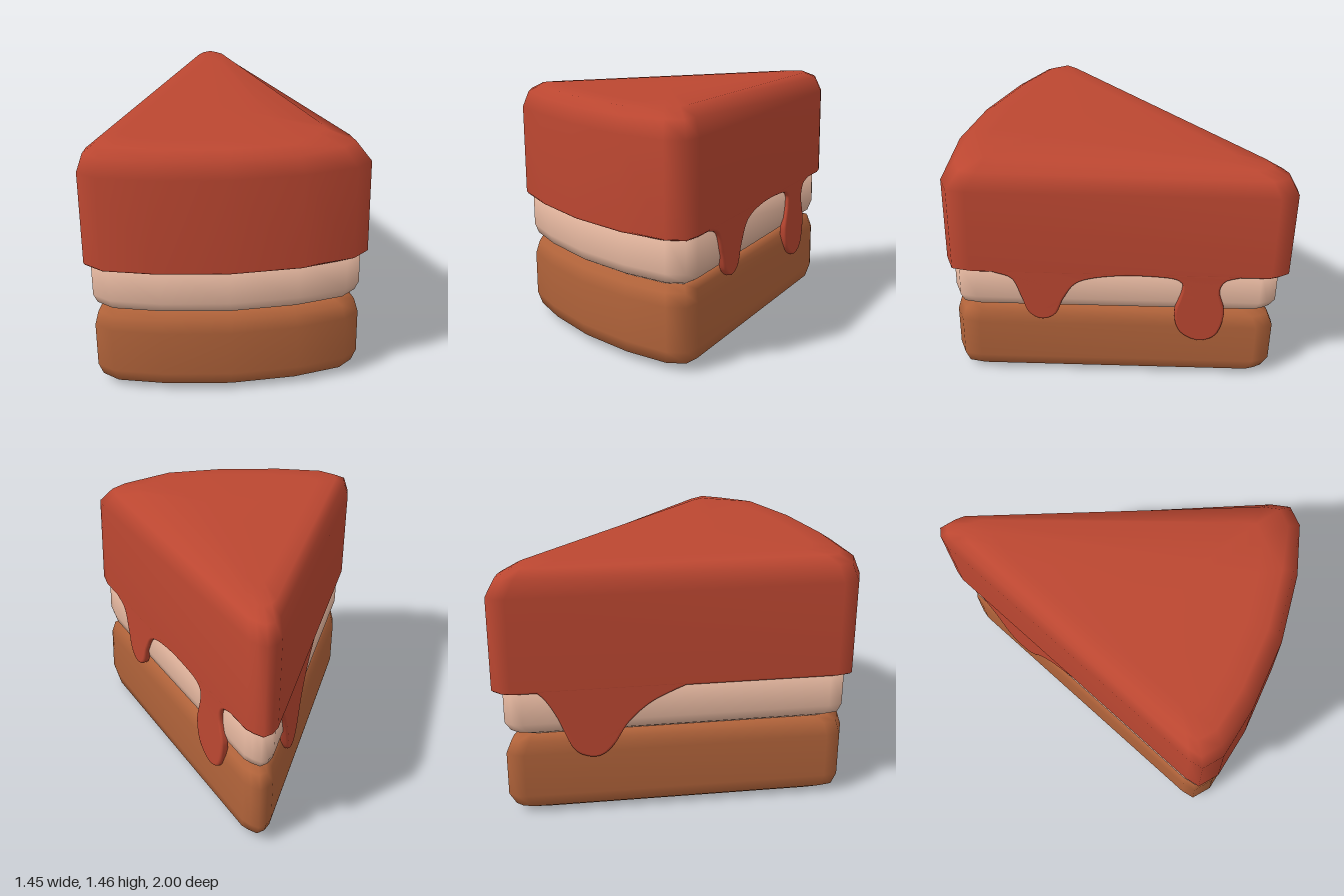
import * as THREE from 'three';
import { mergeVertices } from 'three/addons/utils/BufferGeometryUtils.js';

const material = (name, color) => Object.assign(new THREE.MeshStandardMaterial({ color }), { name });

// Wedge outline seen from above, [x, z, isOuterCorner]; insets shrink it towards the centre
const CENTRE = [-0.19, 0.2];
const OUTLINE = [
  [-0.725, -0.9], [-0.71, -0.96], [-0.675, -1], [-0.62, -0.985], [-0.57, -0.96],
  [0.66, 0.27, 1], [0.72, 0.36, 1], [0.67, 0.47, 1],
  [0.43, 0.65], [0.08, 0.83], [-0.3, 0.95], [-0.59, 1], [-0.71, 0.96], [-0.725, 0.88],
];

// Stack wedge outlines, listed bottom to top as [y, inset], and close both ends
function wedge(rings, cornerWeight) {
  const n = OUTLINE.length, pos = [], index = [];
  for (const [y, inset] of rings) {
    for (const [x, z, corner] of OUTLINE) {
      const s = 1 - inset * (corner ? cornerWeight : 1);
      pos.push(CENTRE[0] + (x - CENTRE[0]) * s, y, CENTRE[1] + (z - CENTRE[1]) * s);
    }
  }
  const bottom = rings.length * n, top = bottom + 1, last = (rings.length - 1) * n;
  pos.push(CENTRE[0], rings[0][0], CENTRE[1], CENTRE[0], rings.at(-1)[0], CENTRE[1]);
  for (let i = 0; i < n; i++) {
    const k = (i + 1) % n;
    for (let j = 0; j < last; j += n) {
      index.push(j + i, j + n + i, j + n + k, j + i, j + n + k, j + k);
    }
    index.push(bottom, i, k, top, last + k, last + i);
  }
  const g = new THREE.BufferGeometry();
  g.setAttribute('position', new THREE.Float32BufferAttribute(pos, 3));
  g.setIndex(index);
  g.computeVertexNormals();
  return g;
}

// Thin rounded slab hanging from the icing edge; points are [along, y]
function drip(points) {
  const pts = points.map(([x, y]) => new THREE.Vector2(x, y));
  const shape = new THREE.Shape();
  shape.moveTo(pts[0].x, 0.86);
  shape.lineTo(pts[0].x, pts[0].y);
  shape.splineThru(pts.slice(1));
  shape.lineTo(pts.at(-1).x, 0.86);
  let g = new THREE.ExtrudeGeometry(shape, {
    depth: 0.02, bevelThickness: 0.013, bevelSize: 0.014, bevelOffset: -0.014,
    bevelSegments: 3, curveSegments: 40,
  });
  g.translate(0, 0, -0.035);
  g.deleteAttribute('normal');
  g.deleteAttribute('uv');
  g = mergeVertices(g, 1e-4);
  g.computeVertexNormals();
  return g;
}

export function createModel() {
  const model = new THREE.Group();
  model.name = 'cakeSlice';
  const icing = material('red icing', 0xbc4731);
  const cream = material('pale cream', 0xdfb29b);
  const sponge = material('brown sponge', 0xb1633a);

  const add = (name, geometry, mat) => {
    const mesh = new THREE.Mesh(geometry, mat);
    mesh.name = name;
    model.add(mesh);
    return mesh;
  };

  // Layers
  add('spongeLayer', wedge([
    [0, 0.35], [0.01, 0.17], [0.045, 0.08], [0.12, 0.048],
    [0.38, 0.048], [0.455, 0.075], [0.485, 0.14], [0.488, 0.3],
  ], 1), sponge);
  add('creamLayer', wedge([
    [0.484, 0.3], [0.49, 0.14], [0.515, 0.075], [0.57, 0.048], [0.8, 0.048],
  ], 1), cream);
  add('icingLayer', wedge([
    [0.765, 0.06], [0.765, 0.012], [0.778, 0], [1.31, 0],
    [1.405, 0.045], [1.445, 0.13], [1.455, 0.3],
  ], 2.2), icing);

  // Drips on the slanted cut face, given by z
  const slanted = [
    [0.24, 0.79], [0.17, 0.762], [0.1, 0.72], [0.065, 0.6], [0.035, 0.48], [-0.02, 0.43],
    [-0.08, 0.47], [-0.115, 0.59], [-0.18, 0.71], [-0.34, 0.757], [-0.53, 0.752],
    [-0.595, 0.72], [-0.6, 0.65], [-0.575, 0.5], [-0.6, 0.36], [-0.68, 0.293],
    [-0.755, 0.34], [-0.782, 0.5], [-0.757, 0.65], [-0.775, 0.73], [-0.83, 0.76], [-0.91, 0.79],
  ].map(([z, y]) => [-z * Math.SQRT2, y]);
  const slantedDrips = add('slantedFaceDrips', drip(slanted), icing);
  slantedDrips.position.x = 0.39;
  slantedDrips.rotation.y = Math.PI * 0.75;

  // Wide drip on the straight cut face
  const straightDrip = add('straightFaceDrip', drip([
    [-0.8, 0.79], [-0.73, 0.73], [-0.66, 0.61], [-0.58, 0.42], [-0.5, 0.362], [-0.42, 0.365],
    [-0.35, 0.43], [-0.27, 0.56], [-0.15, 0.67], [0, 0.745], [0.12, 0.79],
  ]), icing);
  straightDrip.position.x = -0.725;
  straightDrip.rotation.y = -Math.PI / 2;

  return model;
}
